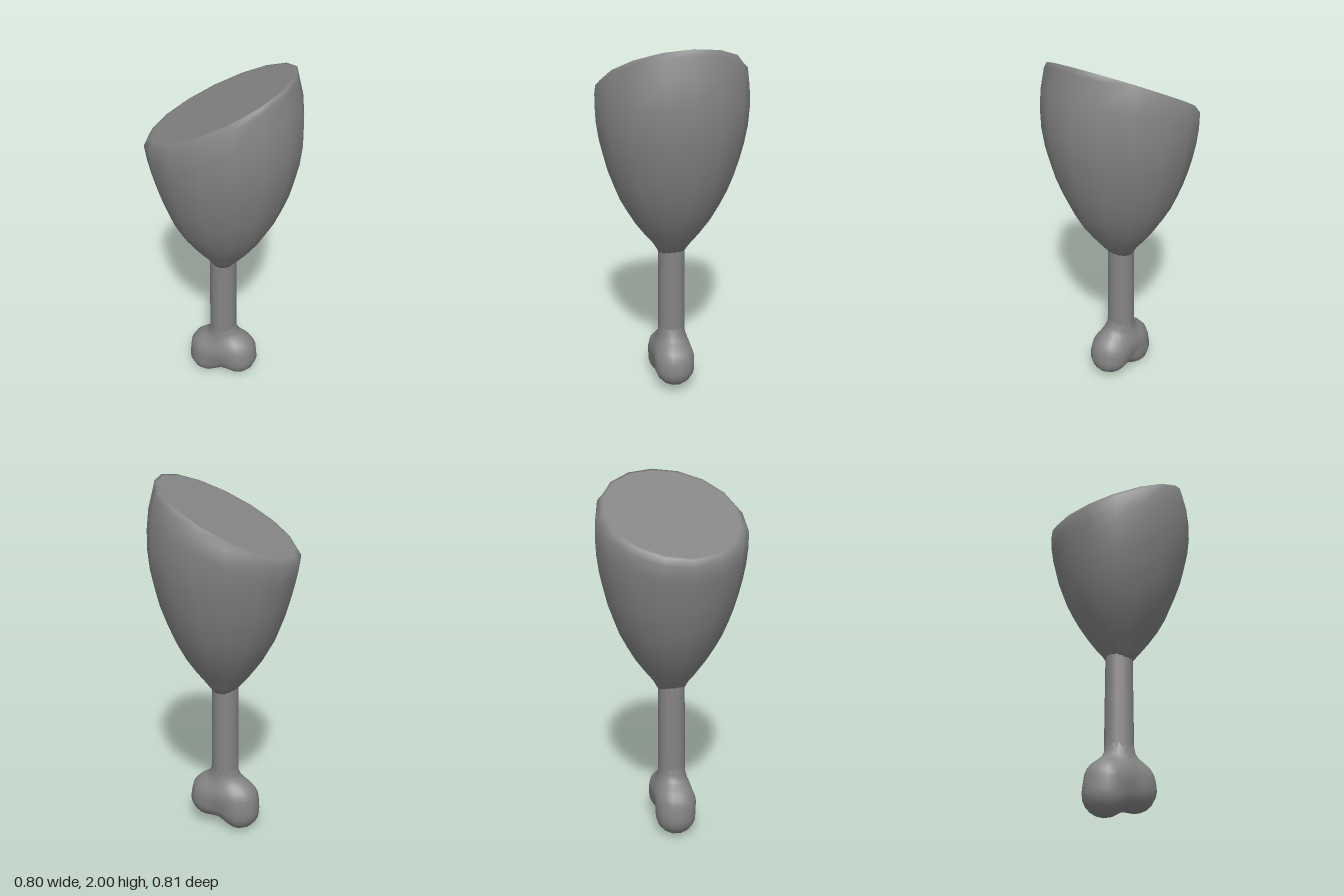
import * as THREE from 'three';
import { mergeVertices } from 'three/addons/utils/BufferGeometryUtils.js';

const material = new THREE.MeshStandardMaterial({ color: 0x848484 });
const V = (x, y, z) => new THREE.Vector3(x, y, z);
const SIDES = 16;

// Radius of the meat at each height: [height, radius]
const PROFILE = [
  [0.85, 0.062], [0.93, 0.132], [1.04, 0.213], [1.17, 0.285], [1.33, 0.345],
  [1.5, 0.387], [1.6, 0.401], [1.7, 0.404], [1.82, 0.394], [1.91, 0.377], [2.0, 0.345],
];
function radiusAt(y) {
  for (let i = 1; i < PROFILE.length; i++) {
    const [y0, r0] = PROFILE[i - 1], [y1, r1] = PROFILE[i];
    if (y <= y1) return r0 + (r1 - r0) * (y - y0) / (y1 - y0);
  }
  return PROFILE[PROFILE.length - 1][1];
}

// Points on the slanted cut, as a ring of the given scale
function cutPoint(a, scale) {
  const x = -0.014 + 0.366 * scale * Math.cos(a);
  return [x, 1.82 + 0.518 * x, 0.368 * scale * Math.sin(a)];
}

// Meat: columns up to the slanted rim, a soft bevel, then the flat cut
function meatGeometry() {
  const pos = [], index = [], rows = 12, cutScales = [1, 0.96];
  for (let r = 0; r <= rows + cutScales.length; r++) {
    for (let s = 0; s < SIDES; s++) {
      const a = (s / SIDES) * Math.PI * 2, c = Math.cos(a);
      if (r > rows) { pos.push(...cutPoint(a, cutScales[r - rows - 1])); continue; }
      let rim = 1.79;
      for (let k = 0; k < 8; k++) rim = 1.79 + 0.505 * radiusAt(rim) * c;
      const y = 0.85 + (rim - 0.85) * Math.pow(r / rows, 1.2);
      const depth = r === 0 ? 1.25 : 1; // the lowest ring overlaps the bone front and back
      pos.push(radiusAt(y) * c, y, radiusAt(y) * depth * Math.sin(a));
    }
  }
  const last = rows + cutScales.length;
  for (let r = 0; r < last; r++) {
    for (let s = 0; s < SIDES; s++) {
      const n = (s + 1) % SIDES;
      const a = r * SIDES + s, b = r * SIDES + n, d = a + SIDES, e = b + SIDES;
      index.push(a, d, b, b, d, e);
    }
  }
  // Closed tip and flat cut
  const tip = pos.length / 3;
  pos.push(0, 0.845, 0, ...cutPoint(0, 0).slice(0, 3));
  for (let s = 0; s < SIDES; s++) {
    const n = (s + 1) % SIDES;
    index.push(tip, s, n, tip + 1, last * SIDES + n, last * SIDES + s);
  }
  const g = new THREE.BufferGeometry();
  g.setAttribute('position', new THREE.Float32BufferAttribute(pos, 3));
  g.setIndex(index);
  g.computeVertexNormals();
  return g;
}

// Knuckle: two rounded lobes blended with the start of the shaft
const LOBES = [
  { line: new THREE.Line3(V(-0.098, 0.115, -0.004), V(-0.09, 0.18, 0)), r: 0.115 },
  { line: new THREE.Line3(V(0.092, 0.16, 0.01), V(0.086, 0.195, 0.008)), r: 0.115 },
  { line: new THREE.Line3(V(-0.004, 0.25, 0), V(-0.004, 0.44, 0)), r: 0.073 },
];
const BLEND = 0.09;
function knuckleDistance(p) {
  const near = V(0, 0, 0);
  return LOBES.reduce((d, { line, r }) => {
    line.closestPointToPoint(p, true, near);
    const e = near.distanceTo(p) - r;
    const h = Math.max(BLEND - Math.abs(d - e), 0) / BLEND;
    return Math.min(d, e) - h * h * BLEND / 4;
  }, 10);
}
function knuckleGeometry() {
  const g = new THREE.SphereGeometry(1, 24, 20);
  const p = g.attributes.position, centre = V(0, 0.18, 0);
  for (let i = 0; i < p.count; i++) {
    const dir = V(0, 0, 0).fromBufferAttribute(p, i).normalize();
    // Bisect outwards to the blended surface
    let lo = 0, hi = 0.4;
    for (let k = 0; k < 24; k++) {
      const mid = (lo + hi) / 2;
      if (knuckleDistance(centre.clone().addScaledVector(dir, mid)) < 0) lo = mid;
      else hi = mid;
    }
    const q = centre.clone().addScaledVector(dir, lo);
    p.setXYZ(i, q.x, q.y, q.z);
  }
  g.deleteAttribute('uv');
  g.deleteAttribute('normal');
  const merged = mergeVertices(g, 1e-5);
  merged.computeVertexNormals();
  return merged;
}

export function createModel() {
  const group = new THREE.Group();
  const add = (name, geometry) => {
    const mesh = new THREE.Mesh(geometry, material);
    mesh.name = name;
    group.add(mesh);
    return mesh;
  };
  add('meat', meatGeometry());
  add('boneKnuckle', knuckleGeometry());
  add('boneShaft', new THREE.CylinderGeometry(0.074, 0.078, 0.56, 14))
    .position.set(-0.004, 0.6, 0);
  return group;
}
